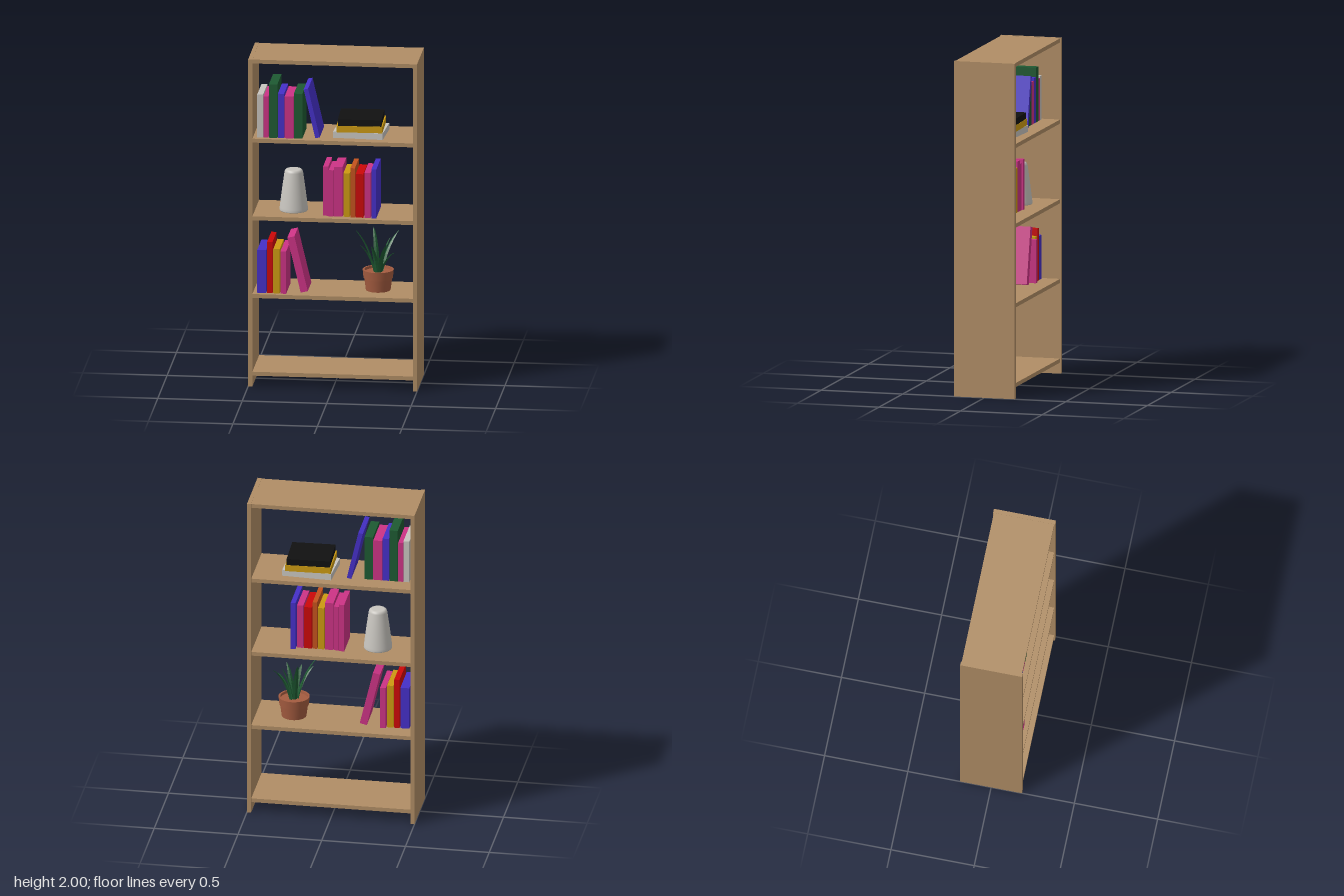
import * as THREE from 'three';

const mat = (name, color) => {
  const m = new THREE.MeshStandardMaterial({ color });
  m.name = name;
  return m;
};

export function createModel() {
  const wood = mat('wood', 0xb08d65), pink = mat('pink', 0xcc3385), blue = mat('blue', 0x4530c8);
  const green = mat('green', 0x1e5a32), gold = mat('gold', 0xcc9a12), red = mat('red', 0xcc0808);
  const black = mat('black', 0x111111), grey = mat('light grey', 0xc8c5bf);
  const orange = mat('orange', 0xc4521e), clay = mat('terracotta', 0xa55c40);

  const root = new THREE.Group();
  root.name = 'bookcase';

  const add = (parent, name, geometry, material, x = 0, y = 0, z = 0) => {
    const m = new THREE.Mesh(geometry, material);
    m.name = name;
    m.position.set(x, y, z);
    parent.add(m);
    return m;
  };
  const group = (name, x = 0, y = 0, z = 0) => {
    const g = new THREE.Group();
    g.name = name;
    g.position.set(x, y, z);
    root.add(g);
    return g;
  };

  // Carcass: two side panels and five boards
  const carcass = group('carcass');
  for (const s of [-1, 1])
    add(carcass, s > 0 ? 'leftSide' : 'rightSide', new THREE.BoxGeometry(0.025, 2, 0.372), wood, s * 0.4875, 1, 0);
  [0.09, 0.565, 1.04, 1.515, 1.999].forEach((top, i) =>
    add(carcass, i === 4 ? 'topBoard' : 'shelf' + (i + 1), new THREE.BoxGeometry(0.95, 0.024, 0.362), wood, 0, top - 0.012, 0));

  // Upright books: [x from, x to, top, material, front z, back z]
  const bookRow = (name, floor, books) => {
    const g = group(name);
    for (const [x0, x1, top, m, front = 0.15, back = -0.075] of books)
      add(g, 'book', new THREE.BoxGeometry(x1 - x0, top - floor, front - back), m,
        (x0 + x1) / 2, (top + floor) / 2, (front + back) / 2);
  };
  bookRow('upperBooks', 1.515, [
    [-0.45, -0.415, 1.778, grey], [-0.413, -0.384, 1.767, pink], [-0.381, -0.331, 1.842, green],
    [-0.328, -0.291, 1.786, blue], [-0.288, -0.235, 1.77, pink], [-0.233, -0.183, 1.789, green],
  ]);
  bookRow('middleBooks', 1.04, [
    [-0.063, -0.032, 1.341, pink, 0.12, -0.083], [-0.029, 0, 1.322, pink, 0.13], [0.003, 0.053, 1.343, pink, 0.13],
    [0.058, 0.095, 1.306, gold, 0.13], [0.1, 0.127, 1.341, orange, 0.14], [0.132, 0.177, 1.306, red, 0.14],
    [0.183, 0.22, 1.314, pink, 0.14], [0.225, 0.254, 1.338, blue, 0.145, -0.1],
  ]);
  bookRow('lowerBooks', 0.565, [
    [-0.45, -0.397, 0.827, blue], [-0.392, -0.36, 0.877, red], [-0.355, -0.317, 0.835, gold],
    [-0.312, -0.278, 0.824, pink, 0.155, -0.09],
  ]);

  // Books leaning against the rows
  const lean = (name, w, h, front, back, x, y, tilt, m) => {
    add(root, name, new THREE.BoxGeometry(w, h, front - back), m, x, y, (front + back) / 2).rotation.z = tilt;
  };
  lean('upperLeaningBook', 0.027, 0.304, 0.145, -0.095, -0.128, 1.67, 0.228, blue);
  lean('lowerLeaningBook', 0.043, 0.342, 0.125, -0.07, -0.214, 0.738, 0.234, pink);

  // Stack of flat books
  const stack = group('bookStack', 0.149, 1.515, 0);
  [[0.296, 0.235, -0.055, grey], [0.271, 0.245, 0.02, gold], [0.257, 0.24, 0.03, black]].forEach(([w, d, yaw, m], i) => {
    add(stack, 'flatBook', new THREE.BoxGeometry(w, 0.039, d), m, 0, 0.0195 + i * 0.039, 0).rotation.y = yaw;
  });

  // Tapered vase with a rounded shoulder
  const lathe = (pts, n = 40) => new THREE.LatheGeometry(pts.map(p => new THREE.Vector2(...p)), n);
  add(root, 'vase', lathe([[0, 0], [0.082, 0], [0.084, 0.004], [0.083, 0.02], [0.07, 0.125], [0.055, 0.232],
    [0.051, 0.243], [0.044, 0.249], [0.036, 0.25], [0, 0.25]]), grey, -0.249, 1.04, 0.01);

  // Flower pot: body, rim and soil
  const plant = group('pottedPlant', 0.25, 0.565, 0);
  add(plant, 'potBody', new THREE.CylinderGeometry(0.083, 0.073, 0.075, 32), clay, 0, 0.0375, 0);
  const ring = [[0.08, 0.073], [0.087, 0.073], [0.092, 0.125], [0.081, 0.125], [0.079, 0.108]];
  for (let i = 0; i < ring.length - 1; i++)
    add(plant, 'potRim', lathe([ring[i], ring[i + 1]], 32), clay);
  add(plant, 'soil', new THREE.CylinderGeometry(0.08, 0.08, 0.03, 32), clay, 0, 0.095, 0);

  // Curved, tapering leaf swept from the soil to its tip
  const leaf = (tx, ty, tz) => {
    const start = new THREE.Vector3(tx * 0.15, 0.1, tz * 0.15);
    const tip = new THREE.Vector3(tx, ty, tz);
    const bend = new THREE.Vector3(tx * 0.38, 0.1 + (ty - 0.1) * 0.66, tz * 0.38);
    const curve = new THREE.QuadraticBezierCurve3(start, bend, tip);
    const side = new THREE.Vector3(tz, 0, -tx).normalize();
    const geo = new THREE.CylinderGeometry(1, 1, 1, 4, 8);
    const p = geo.attributes.position;
    for (let i = 0; i < p.count; i++) {
      const t = p.getY(i) + 0.5;
      const normal = side.clone().cross(curve.getTangent(t));
      const w = 0.019 * (1 - t) ** 0.7 * (0.75 + 0.8 * t) + 0.0004;
      const v = curve.getPoint(t).addScaledVector(side, p.getX(i) * w).addScaledVector(normal, p.getZ(i) * w * 0.35);
      p.setXYZ(i, v.x, v.y, v.z);
    }
    const flat = geo.toNonIndexed();
    flat.computeVertexNormals();
    add(plant, 'leaf', flat, green);
  };
  [[-0.134, 0.37, 0.03], [-0.038, 0.36, -0.09], [0.11, 0.335, -0.11], [-0.105, 0.295, 0.08],
    [0.105, 0.245, 0.05], [0.06, 0.3, 0.09], [-0.03, 0.29, 0.1], [0.07, 0.315, -0.03]].forEach(t => leaf(...t));

  return root;
}
